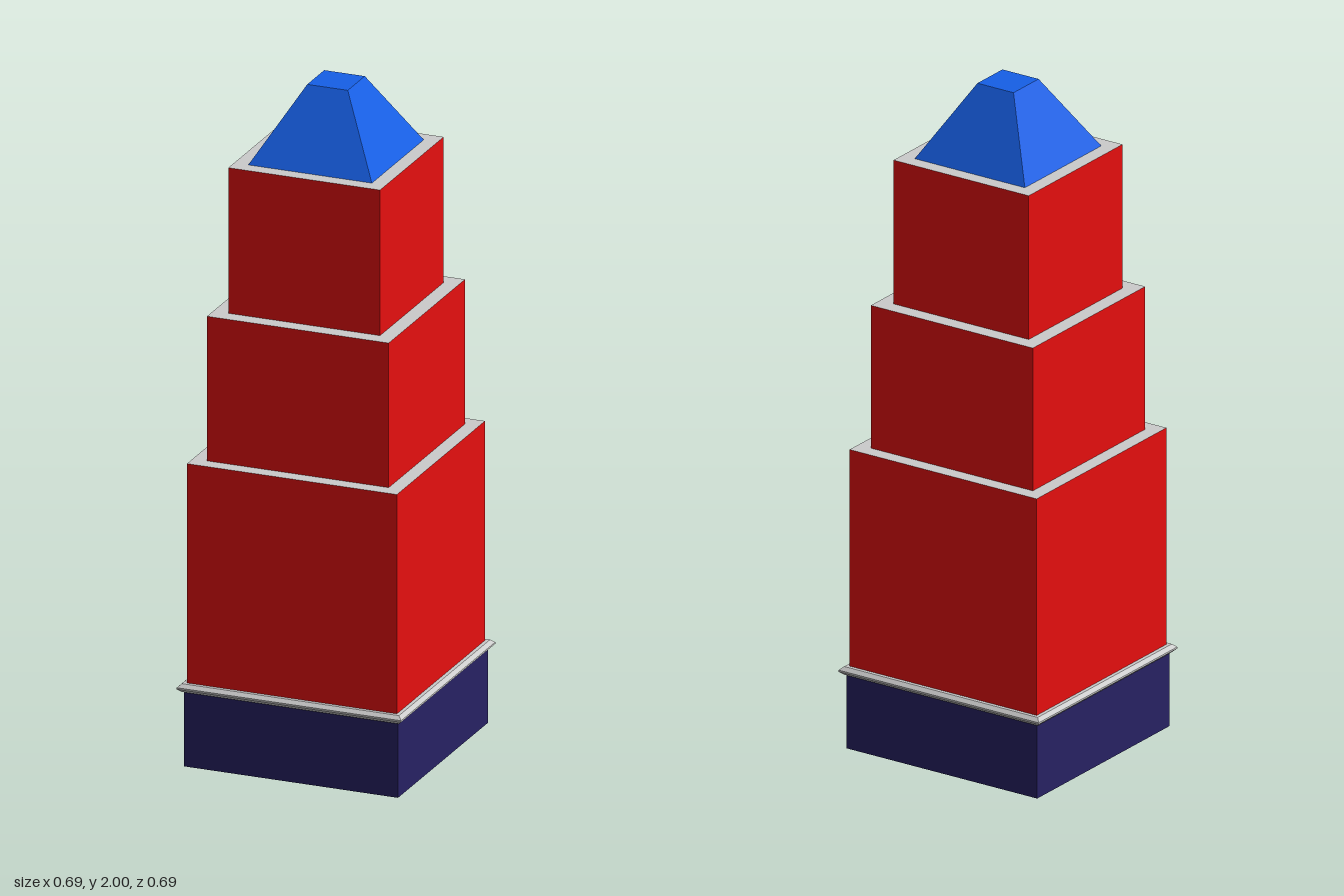
import * as THREE from 'three';

const paint = (color) => new THREE.MeshStandardMaterial({ color, flatShading: true });

// Square section seen from above, given by half-widths at bottom and top
function frustum(name, bottom, top, y0, y1, material) {
  const geometry = new THREE.CylinderGeometry(top * Math.SQRT2, bottom * Math.SQRT2, y1 - y0, 4);
  geometry.rotateY(Math.PI / 4);
  geometry.translate(0, (y0 + y1) / 2, 0);
  const mesh = new THREE.Mesh(geometry, material);
  mesh.name = name;
  return mesh;
}

export function createModel() {
  const model = new THREE.Group();
  model.name = 'steppedTower';
  const red = paint(0xe60f0f);
  const blue = paint(0x165fe6);
  const navy = paint(0x272163);
  const grey = paint(0xcccccc);

  // Plinth
  model.add(frustum('plinth', 0.327, 0.327, 0, 0.227, navy));

  // Cornice with bevelled upper and lower edges
  const cornice = new THREE.Group();
  cornice.name = 'cornice';
  cornice.add(
    frustum('corniceLowerBevel', 0.332, 0.343, 0.225, 0.235, grey),
    frustum('corniceBand', 0.343, 0.343, 0.235, 0.24, grey),
    frustum('corniceUpperBevel', 0.343, 0.332, 0.24, 0.25, grey)
  );
  model.add(cornice);

  // Stepped tiers: red walls, grey ledge on top
  const tiers = [
    ['lowerTier', 0.321, 0.25, 0.91],
    ['middleTier', 0.278, 0.91, 1.345],
    ['upperTier', 0.232, 1.345, 1.783],
  ];
  for (const [name, half, y0, y1] of tiers) {
    model.add(frustum(name, half, half, y0, y1, [red, grey, red]));
  }

  // Truncated pyramid roof
  model.add(frustum('roof', 0.189, 0.062, 1.783, 2, blue));

  return model;
}
